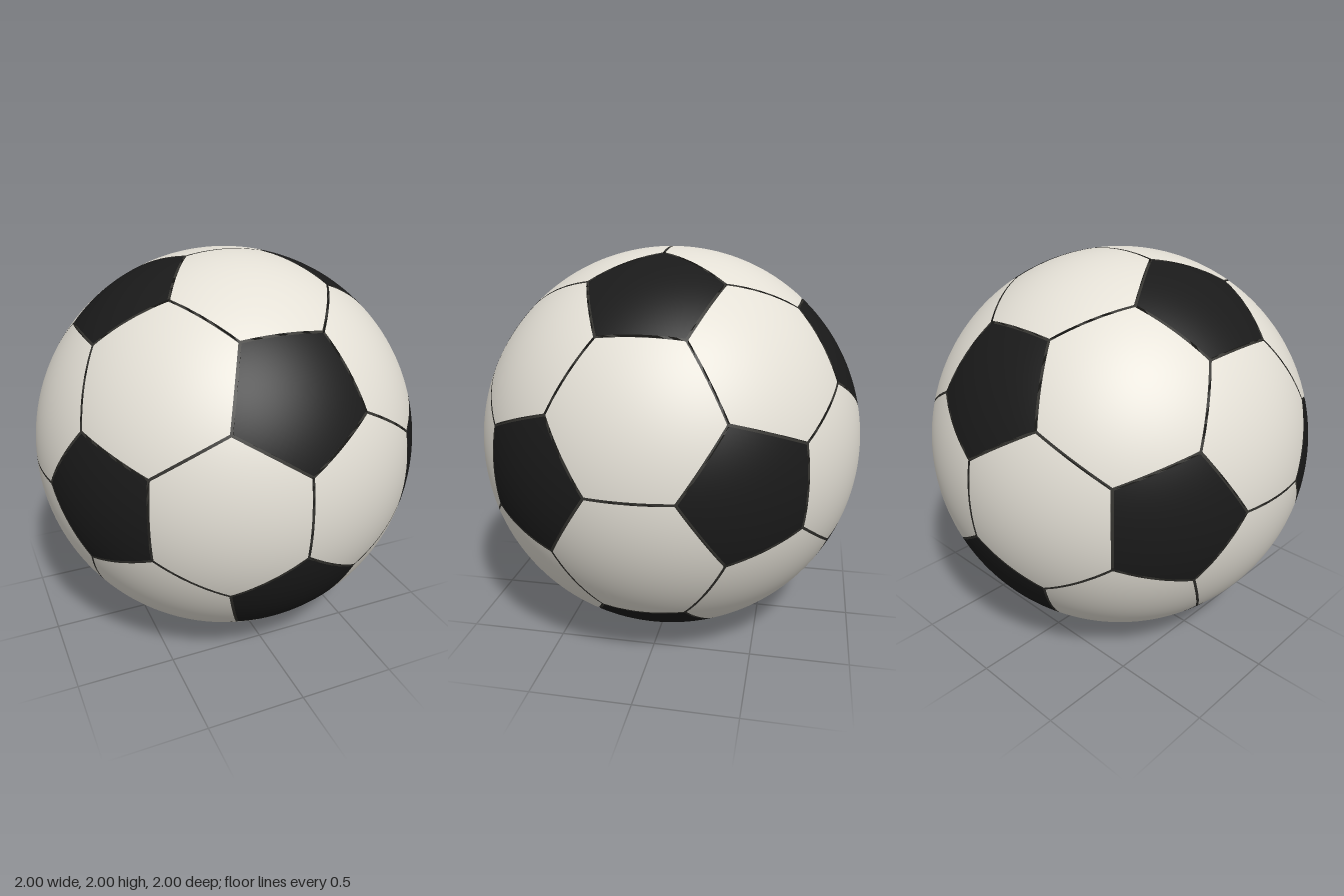
import * as THREE from 'three';

const PHI = (1 + Math.sqrt(5)) / 2;
const SEAM_HALF = 0.007; // half the gap between panels
const CORE_RADIUS = 0.98;
const RINGS = 10;
const STEPS = 10; // divisions along each panel side

const white = new THREE.MeshStandardMaterial({ name: 'warm white', color: 0xe4e0d6 });
const black = new THREE.MeshStandardMaterial({ name: 'black', color: 0x1a1a1a });
const seam = new THREE.MeshStandardMaterial({ name: 'seam grey', color: 0x34332f });

// The twelve icosahedron corners, which are the pentagon centres
function icosahedronCorners() {
  const list = [];
  for (const a of [-1, 1]) {
    for (const b of [-PHI, PHI]) {
      list.push(new THREE.Vector3(0, a, b), new THREE.Vector3(a, b, 0), new THREE.Vector3(b, 0, a));
    }
  }
  return list;
}

const near = (a, b) => Math.abs(a.distanceTo(b) - 2) < 0.01;
const third = (a, b) => a.clone().lerp(b, 1 / 3).normalize();

// A domed panel over a flat polygon, with a short wall down into the seam
function panelGeometry(corners) {
  const centre = corners.reduce((s, p) => s.add(p), new THREE.Vector3()).divideScalar(corners.length);
  const axis = centre.clone().normalize();
  const u = corners[0].clone().sub(centre).normalize();
  const w = axis.clone().cross(u);
  const angle = (p) => Math.atan2(p.dot(w), p.dot(u));
  const loop = [...corners].sort((a, b) => angle(a) - angle(b));
  const apothem = loop[0].clone().lerp(loop[1], 0.5).distanceTo(centre);
  const inset = 1 - SEAM_HALF / apothem;

  const count = loop.length * STEPS;
  const positions = [];
  const normals = [];
  const index = [];
  for (let k = 0; k <= RINGS + 1; k++) {
    const scale = inset * Math.min(k / RINGS, 1);
    const radius = k > RINGS ? CORE_RADIUS - 0.005 : 1;
    for (let j = 0; j < count; j++) {
      const side = Math.floor(j / STEPS);
      const edge = loop[side].clone().lerp(loop[(side + 1) % loop.length], (j % STEPS) / STEPS);
      const n = centre.clone().lerp(edge, scale).normalize();
      normals.push(n.x, n.y, n.z);
      positions.push(n.x * radius, n.y * radius, n.z * radius);
    }
  }
  for (let k = 0; k <= RINGS; k++) {
    for (let j = 0; j < count; j++) {
      const a = k * count + j;
      const b = k * count + ((j + 1) % count);
      index.push(a, a + count, b + count);
      if (k > 0) index.push(a, b + count, b);
    }
  }
  const geometry = new THREE.BufferGeometry();
  geometry.setAttribute('position', new THREE.Float32BufferAttribute(positions, 3));
  geometry.setAttribute('normal', new THREE.Float32BufferAttribute(normals, 3));
  geometry.setIndex(index);
  // Dome in the panel colour, wall in the seam colour
  const wall = count * 6;
  geometry.addGroup(0, index.length - wall, 0);
  geometry.addGroup(index.length - wall, wall, 1);
  return geometry;
}

export function createModel() {
  const ball = new THREE.Group();
  ball.name = 'ball';
  ball.position.y = 1;

  // Core seen between the panels
  const core = new THREE.Mesh(new THREE.SphereGeometry(CORE_RADIUS, 96, 64), seam);
  core.name = 'seamCore';
  ball.add(core);

  const addPanel = (name, corners, material) => {
    const mesh = new THREE.Mesh(panelGeometry(corners), [material, seam]);
    mesh.name = name;
    ball.add(mesh);
  };

  // Black pentagons around each corner
  const v = icosahedronCorners();
  for (const a of v) {
    addPanel('pentagonPanel', v.filter((b) => near(a, b)).map((b) => third(a, b)), black);
  }

  // White hexagons on each triangle of neighbouring corners
  for (let i = 0; i < 12; i++) {
    for (let j = i + 1; j < 12; j++) {
      for (let k = j + 1; k < 12; k++) {
        const [a, b, c] = [v[i], v[j], v[k]];
        if (!near(a, b) || !near(b, c) || !near(c, a)) continue;
        const corners = [[a, b], [b, a], [b, c], [c, b], [c, a], [a, c]].map(([p, q]) => third(p, q));
        addPanel('hexagonPanel', corners, white);
      }
    }
  }

  const model = new THREE.Group();
  model.name = 'football';
  model.add(ball);
  return model;
}
